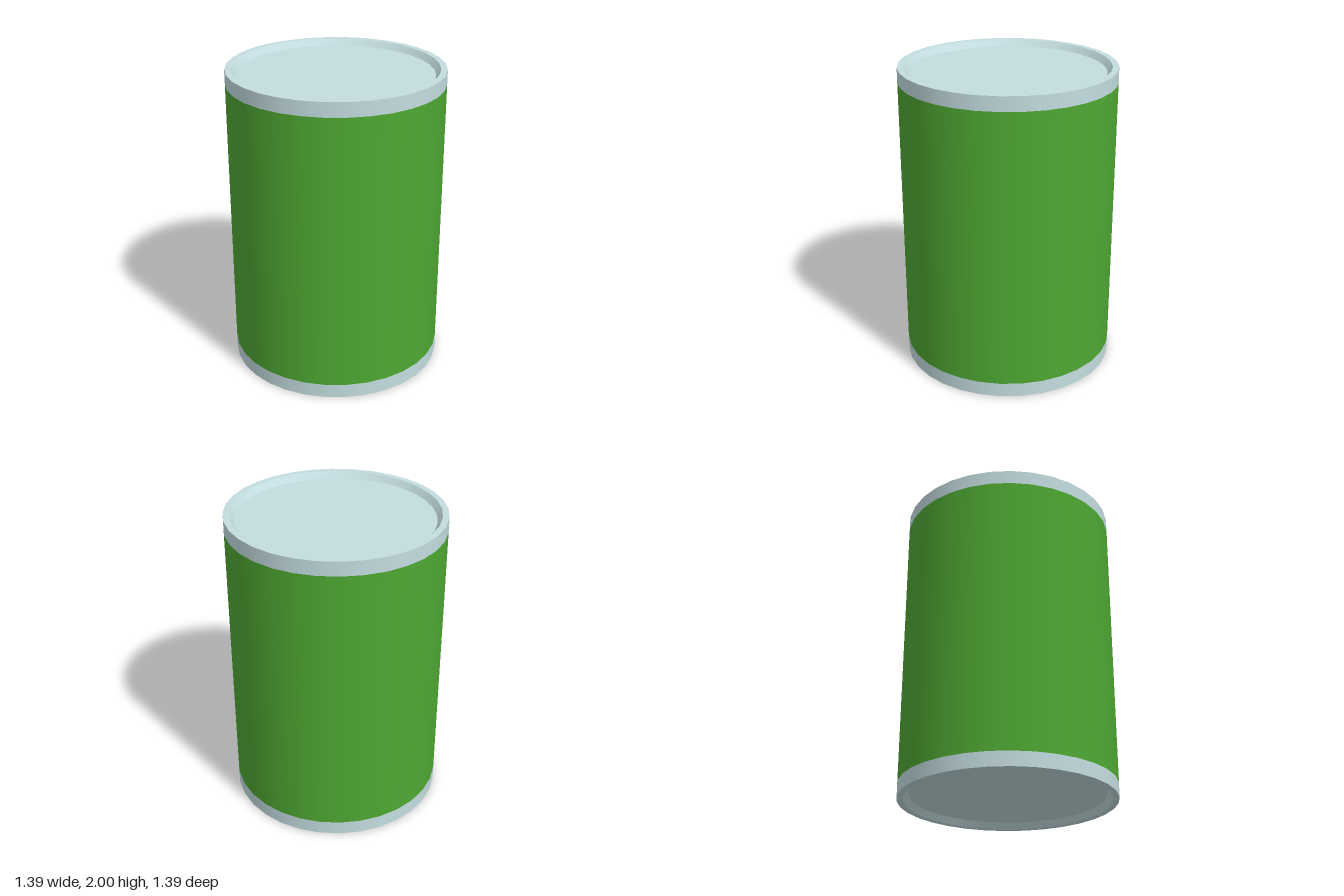
import * as THREE from 'three';

const SIDES = 32;
const R = 0.695;        // outer radius
const HEIGHT = 2;
const BAND = 0.093;     // height of each metal band
const LIP = 0.655;      // inner radius of the rim
const LID = 0.625;      // radius of the recessed lid
const DEPTH = 0.04;     // how far the lid is sunk

const metal = new THREE.MeshStandardMaterial({ color: 0xc4dde0 });
const paint = new THREE.MeshStandardMaterial({ color: 0x4ea832 });

// One ring per profile segment keeps the rim edges crisp and the round walls smooth.
function turned(name, profile, material) {
  const part = new THREE.Group();
  part.name = name;
  for (let i = 0; i < profile.length - 1; i++) {
    const points = [profile[i], profile[i + 1]].map(([r, y]) => new THREE.Vector2(r, y));
    const mesh = new THREE.Mesh(new THREE.LatheGeometry(points, SIDES), material);
    mesh.name = `${name}Ring${i + 1}`;
    part.add(mesh);
  }
  return part;
}

// Recessed lid: disc, sloped inner wall, flat rim and outer band
function makeEnd(name) {
  const end = turned(name, [
    [R, HEIGHT - BAND],
    [R, HEIGHT],
    [LIP, HEIGHT],
    [LID, HEIGHT - DEPTH],
  ], metal);
  const lid = new THREE.Mesh(new THREE.CircleGeometry(LID, SIDES), metal);
  lid.name = `${name}Lid`;
  lid.rotation.x = -Math.PI / 2;
  lid.position.y = HEIGHT - DEPTH;
  end.add(lid);
  return end;
}

export function createModel() {
  const can = new THREE.Group();
  can.name = 'can';

  // Painted wall between the bands
  can.add(turned('body', [[R, BAND], [R, HEIGHT - BAND]], paint));

  // Matching metal ends; the bottom one is turned upside down
  const top = makeEnd('topEnd');
  const bottom = makeEnd('bottomEnd');
  bottom.rotation.x = Math.PI;
  bottom.position.y = HEIGHT;
  can.add(top, bottom);

  return can;
}
